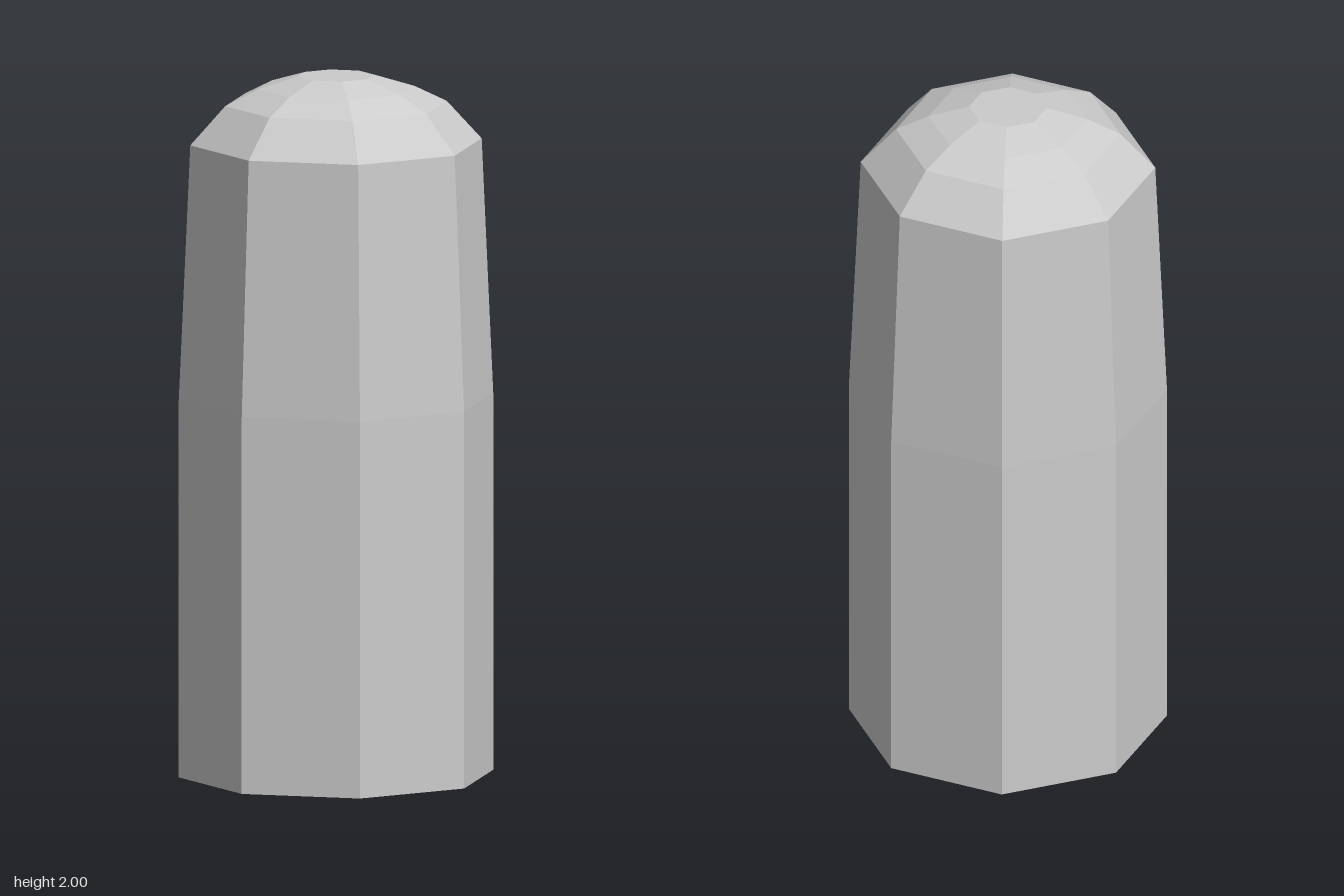
import * as THREE from 'three';

const SIDES = 8;

// Faceted ring-by-ring surface from [radius, height] pairs, bottom to top
function turned(name, profile, material) {
  const points = profile.map(([r, y]) => new THREE.Vector2(r, y));
  const mesh = new THREE.Mesh(new THREE.LatheGeometry(points, SIDES), material);
  mesh.name = name;
  return mesh;
}

export function createModel() {
  const group = new THREE.Group();
  group.name = 'roundedPost';
  const material = new THREE.MeshStandardMaterial({ color: 0xcccccc, flatShading: true });

  // Closed base, straight lower half, slightly tapered upper half
  group.add(turned('shaft', [[0, 0], [0.45, 0], [0.45, 1.08], [0.417, 1.81]], material));

  // Shallow dome with a small flat top
  group.add(turned('domeCap', [[0.417, 1.81], [0.317, 1.92], [0.225, 1.965], [0.11, 2], [0, 2]], material));

  return group;
}
